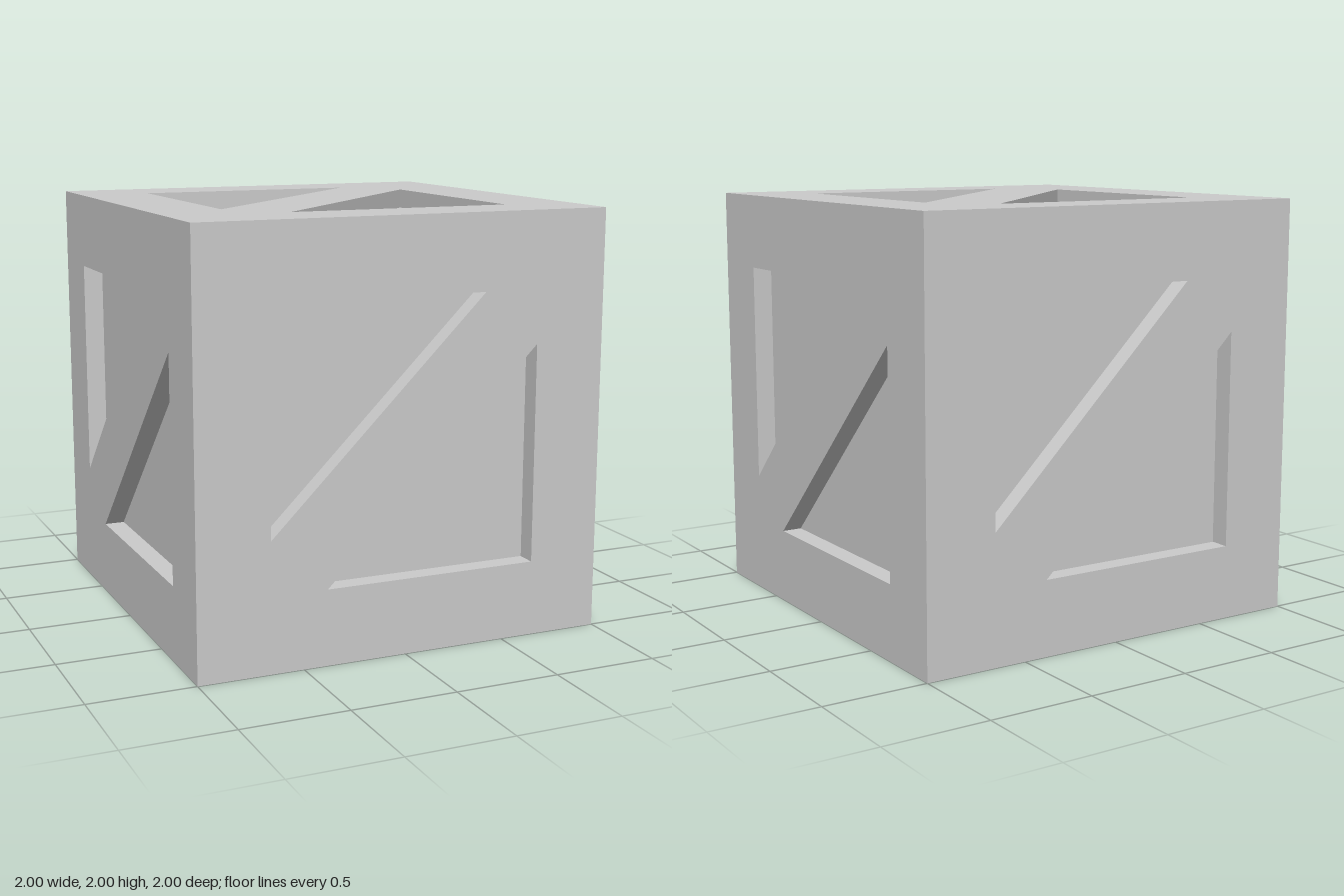
import * as THREE from 'three';
import { mergeGeometries } from 'three/addons/utils/BufferGeometryUtils.js';

const DEPTH = 0.095; // how far the triangular panels are sunk

// Walls of a recess, running counter-clockwise round its outline and facing inward
function recessWalls(outline) {
  const positions = [];
  outline.forEach((a, i) => {
    const b = outline[(i + 1) % outline.length];
    positions.push(
      a.x, a.y, 1, b.x, b.y, 1, b.x, b.y, 1 - DEPTH,
      a.x, a.y, 1, b.x, b.y, 1 - DEPTH, a.x, a.y, 1 - DEPTH
    );
  });
  const geometry = new THREE.BufferGeometry();
  geometry.setAttribute('position', new THREE.Float32BufferAttribute(positions, 3));
  geometry.computeVertexNormals();
  return geometry;
}

// One side of the crate: a frame with a diagonal brace between two sunken triangles.
// w, h: half size of the framed area; p, q: where the diagonal cuts its top and left edges
function createSide(name, { w, h, p, q }, material) {
  const side = new THREE.Group();
  side.name = name;

  const upper = [[-w, h], [-w, -q], [p, h]].map(([x, y]) => new THREE.Vector2(x, y));
  const lower = upper.map((v) => v.clone().negate());
  const triangles = [upper, lower];

  const face = new THREE.Shape([[-1, -1], [1, -1], [1, 1], [-1, 1]].map(([x, y]) => new THREE.Vector2(x, y)));
  face.holes = triangles.map((t) => new THREE.Path(t));

  const add = (partName, geometry) => {
    const mesh = new THREE.Mesh(geometry, material);
    mesh.name = partName;
    side.add(mesh);
  };
  add('frameAndBrace', new THREE.ShapeGeometry(face).translate(0, 0, 1));
  add('sunkenPanels', mergeGeometries(
    triangles.map((t) => new THREE.ShapeGeometry(new THREE.Shape(t)).translate(0, 0, 1 - DEPTH))
  ));
  add('recessWalls', mergeGeometries(triangles.map(recessWalls)));
  return side;
}

export function createModel() {
  const crate = new THREE.Group();
  crate.name = 'crate';
  const material = new THREE.MeshStandardMaterial({ color: 0xcccccc, flatShading: true });

  const frontBack = { w: 0.655, h: 0.643, p: 0.385, q: 0.39 };
  const leftRight = { w: 0.682, h: 0.643, p: 0.407, q: 0.415 };
  const topBottom = { w: 0.655, h: 0.682, p: 0.427, q: 0.42 };
  const quarter = Math.PI / 2;

  // name, panel layout, rotation about x, rotation about y
  const sides = [
    ['frontSide', frontBack, 0, 0],
    ['backSide', frontBack, 0, 2 * quarter],
    ['leftSide', leftRight, 0, quarter],
    ['rightSide', leftRight, 0, -quarter],
    ['topSide', topBottom, -quarter, 0],
    ['bottomSide', topBottom, quarter, 0],
  ];
  for (const [name, layout, rx, ry] of sides) {
    const side = createSide(name, layout, material);
    side.rotation.set(rx, ry, 0);
    side.position.y = 1;
    crate.add(side);
  }
  return crate;
}
